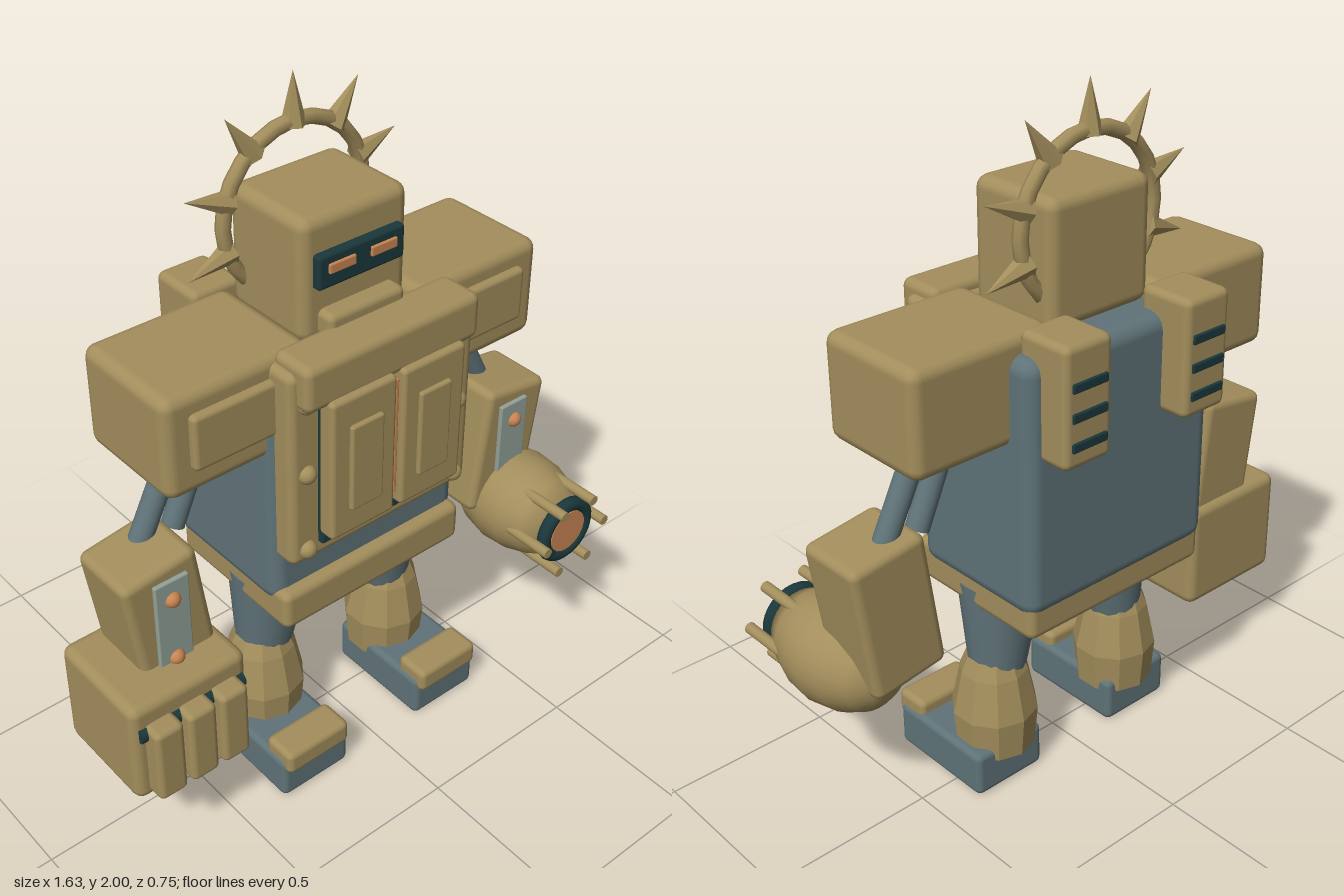
import * as THREE from 'three';
import { RoundedBoxGeometry } from 'three/addons/geometries/RoundedBoxGeometry.js';

const mat = (name, color, extra = {}) => {
  const m = new THREE.MeshStandardMaterial({ color, ...extra });
  m.name = name;
  return m;
};

export function createModel() {
  const tan = mat('brass armour', 0xa38e5c);
  const tanFlat = mat('brass armour', 0xa38e5c, { flatShading: true });
  const steel = mat('blue steel', 0x5f7378);
  const dark = mat('dark teal', 0x1b383b);
  const orange = mat('copper glow', 0xc98552);
  const grey = mat('pale metal', 0x93a198);

  const model = new THREE.Group();
  model.name = 'robot';
  const body = new THREE.Group();
  body.name = 'body';
  body.position.x = 0.008;
  model.add(body);

  const add = (name, geo, material, x = 0, y = 0, z = 0) => {
    const m = new THREE.Mesh(geo, material);
    m.name = name;
    m.position.set(x, y, z);
    body.add(m);
    return m;
  };
  // Rounded box given by its extents on each axis
  const block = (name, material, [x0, x1], [y0, y1], [z0, z1], r = 0.02) => {
    const w = x1 - x0, h = y1 - y0, d = z1 - z0;
    return add(name, new RoundedBoxGeometry(w, h, d, 2, Math.min(r, w / 2.1, h / 2.1, d / 2.1)),
      material, (x0 + x1) / 2, (y0 + y1) / 2, (z0 + z1) / 2);
  };
  // Same box on side s (+1 or -1), extents given for the +x side
  const sided = (name, material, s, [x0, x1], y, z, r) =>
    block(name, material, s > 0 ? [x0, x1] : [-x1, -x0], y, z, r);
  const ball = (name, material, x, y, z, r) =>
    add(name, new THREE.SphereGeometry(r, 16, 10), material, x, y, z);
  const rod = (name, material, a, b, r0, r1 = r0) => {
    const p = new THREE.Vector3(...a), q = new THREE.Vector3(...b);
    const m = add(name, new THREE.CylinderGeometry(r1, r0, p.distanceTo(q), 20), material);
    m.position.copy(p).lerp(q, 0.5);
    m.quaternion.setFromUnitVectors(new THREE.Vector3(0, 1, 0), q.sub(p).normalize());
    return m;
  };

  // Torso and chest
  block('torso', steel, [-0.33, 0.33], [0.655, 1.39], [-0.285, 0.165], 0.045);
  block('belt', tan, [-0.32, 0.32], [0.585, 0.71], [-0.275, 0.2], 0.025);
  block('chestPlate', tan, [-0.312, 0.312], [0.82, 1.42], [0.1, 0.22], 0.025);
  block('chestBar', tan, [-0.29, 0.29], [1.315, 1.45], [0.12, 0.26], 0.025);
  block('doorRecess', dark, [-0.225, 0.225], [0.87, 1.32], [0.2, 0.238], 0.008);
  block('chestGlow', orange, [-0.006, 0.006], [0.95, 1.31], [0.23, 0.265], 0.004);

  // Head
  block('head', tan, [-0.175, 0.175], [1.39, 1.74], [-0.195, 0.1], 0.035);
  block('collar', tan, [-0.125, 0.125], [1.41, 1.485], [0.04, 0.15], 0.02);
  block('visor', dark, [-0.14, 0.14], [1.55, 1.645], [0.08, 0.124], 0.01);

  // Spiked halo
  const halo = add('halo', new THREE.TorusGeometry(0.228, 0.021, 8, 24), tan, 0, 1.643, -0.143);
  for (let i = -3; i <= 3; i++) {
    const a = i * Math.PI / 5;
    const spike = new THREE.Mesh(new THREE.ConeGeometry(0.034, 0.142, 6), tanFlat);
    spike.name = 'haloSpike';
    spike.position.set(-Math.sin(a) * 0.286, Math.cos(a) * 0.286, 0);
    spike.rotation.z = a;
    halo.add(spike);
  }

  for (const s of [1, -1]) {
    // Eyes, chest doors and rivets
    sided('eye', orange, s, [0.025, 0.11], [1.592, 1.62], [0.115, 0.131], 0.004);
    sided('chestDoor', tan, s, [0.01, 0.226], [0.905, 1.335], [0.22, 0.278], 0.014);
    sided('doorPanel', tan, s, [0.062, 0.17], [0.985, 1.25], [0.26, 0.29], 0.008);
    for (const y of [0.865, 1.11, 1.325]) ball('rivet', tan, s * 0.26, y, 0.218, 0.027);

    // Back packs with vents
    sided('backPack', tan, s, [0.13, 0.29], [1.115, 1.45], [-0.37, -0.2], 0.022);
    for (const y of [1.18, 1.26, 1.34])
      sided('vent', dark, s, [0.152, 0.268], [y - 0.013, y + 0.013], [-0.377, -0.36], 0.004);

    // Shoulders and arm struts
    sided('shoulder', tan, s, [0.178, 0.625], [1.142, 1.44], [-0.213, 0.14], 0.035);
    sided('shoulderPanel', tan, s, [0.23, 0.555], [1.22, 1.382], [0.11, 0.162], 0.015);
    rod('armStrut', steel, [s * 0.625, 0.87, -0.045], [s * 0.475, 1.17, -0.045], 0.033);
    rod('armStrut', steel, [s * 0.5, 0.91, -0.045], [s * 0.385, 1.17, -0.045], 0.033);

    // Forearm with riveted plate
    const arm = block('forearm', tan, [-0.117, 0.117], [0.51, 0.925], [-0.115, 0.1], 0.025);
    arm.position.x = s * 0.613;
    arm.rotation.z = -s * 0.14;
    sided('forearmPlate', grey, s, [0.563, 0.669], [0.57, 0.882], [0.09, 0.112], 0.005);
    for (const y of [0.62, 0.82]) ball('forearmRivet', orange, s * 0.617, y, 0.108, 0.024);

    // Legs and feet
    rod('thigh', steel, [s * 0.233, 0.3, -0.03], [s * 0.204, 0.63, -0.02], 0.073, 0.122);
    const shinProfile = [[0, 0.1], [0.115, 0.1], [0.125, 0.22], [0.098, 0.35], [0.078, 0.4]]
      .map(([r, y]) => new THREE.Vector2(r, y));
    add('shin', new THREE.LatheGeometry(shinProfile, 10), tanFlat, s * 0.238, 0, -0.025);
    sided('foot', steel, s, [0.134, 0.374], [0, 0.138], [-0.11, 0.245], 0.02);
    sided('toeCap', tan, s, [0.143, 0.366], [0.098, 0.177], [0.15, 0.262], 0.02);
  }

  // Fist on the right arm
  block('fist', tan, [-0.828, -0.456], [0.277, 0.61], [-0.135, 0.203], 0.03);
  rod('knucklePin', dark, [-0.808, 0.52, 0.2], [-0.476, 0.52, 0.2], 0.022);
  for (let i = -1; i <= 1; i++) {
    const x = -0.642 + i * 0.104;
    block('finger', tan, [x - 0.045, x + 0.045], [0.302, 0.547], [0.17, 0.258], 0.018);
  }

  // Cannon on the left arm
  const cx = 0.645, cy = 0.52;
  const bulb = [[0, -0.09], [0.06, -0.075], [0.105, -0.035], [0.138, 0.03], [0.154, 0.11],
    [0.149, 0.18], [0.128, 0.25], [0.1, 0.305], [0, 0.315]].map(([r, z]) => new THREE.Vector2(r, z));
  add('cannonBulb', new THREE.LatheGeometry(bulb, 28), tan, cx, cy, 0).rotation.x = Math.PI / 2;
  add('muzzleRing', new THREE.TorusGeometry(0.088, 0.022, 10, 28), dark, cx, cy, 0.324);
  rod('muzzleGlow', orange, [cx, cy, 0.3], [cx, cy, 0.34], 0.07);
  for (let i = 0; i < 6; i++) {
    const a = i * Math.PI / 3;
    const x = cx + Math.cos(a) * 0.122, y = cy + Math.sin(a) * 0.122;
    rod('prong', tan, [x, y, 0.18], [x, y, 0.375], 0.016);
  }
  return model;
}
